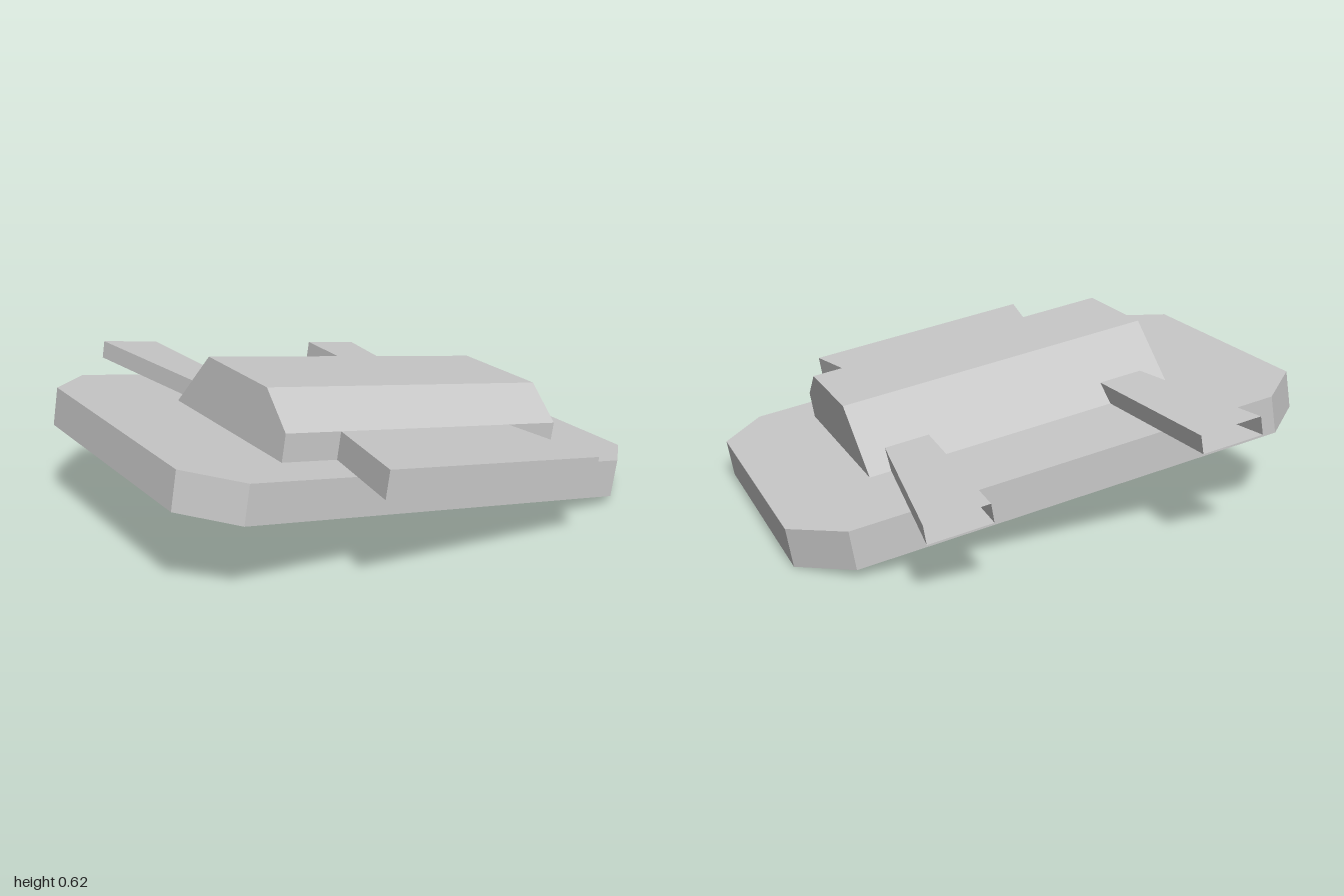
import * as THREE from 'three';

const FLOOR = 0.159, DECK = 0.302, MID = -0.03;

export function createModel() {
  const model = new THREE.Group();
  const grey = new THREE.MeshStandardMaterial({ color: 0xc8c8c8, flatShading: true, side: THREE.DoubleSide });
  grey.name = 'plain grey';

  // The whole craft rests tilted on its left edge and slightly turned
  const craft = new THREE.Group();
  craft.name = 'craft';
  craft.rotation.set(0, THREE.MathUtils.degToRad(3), THREE.MathUtils.degToRad(-9.7), 'YXZ');
  model.add(craft);

  const add = (name, geometry, x = MID) => {
    const mesh = new THREE.Mesh(geometry, grey);
    mesh.name = name;
    mesh.position.x = x;
    craft.add(mesh);
  };
  const extrude = (points, depth) => new THREE.ExtrudeGeometry(
    new THREE.Shape(points.map(([x, y]) => new THREE.Vector2(x, y))), { depth, bevelEnabled: false });

  // Flat plate from an (x, z) outline between two heights
  const slab = (outline, y0, y1) => extrude(outline.map(([x, z]) => [x, -z]), y1 - y0)
    .rotateX(-Math.PI / 2).translate(0, y0, 0);

  // Base plate with cut corners
  add('base', slab([
    [-0.807, 0.671], [0.807, 0.671], [0.98, 0.502], [0.98, -0.453],
    [0.807, -0.622], [-0.807, -0.622], [-0.98, -0.453], [-0.98, 0.502],
  ], FLOOR, DECK), -0.043);

  // Cabin: (z, y) side profile swept across the width
  const cabin = extrude([
    [0.494, DECK], [0.494, 0.403], [0.343, 0.519], [-0.066, 0.519], [-0.253, DECK],
  ], 1.2).translate(0, 0, -0.6).rotateY(-Math.PI / 2);
  // the profile axis now points along +z
  add('cabin', cabin, -0.025);

  // Flared front plate
  add('frontPlate', slab([
    [-0.374, 0.49], [0.374, 0.49], [0.455, 0.893], [-0.455, 0.893],
  ], DECK, 0.403), -0.028);

  // Flared rear ducts, open at the back
  for (const side of [-1, 1]) {
    const duct = new THREE.BoxGeometry(1, 0.37 - DECK, 1);
    duct.setIndex([...duct.index.array].slice(0, 30)); // leave out the rear face
    duct.clearGroups();
    const p = duct.attributes.position;
    for (let i = 0; i < p.count; i++) {
      const rear = p.getZ(i) < 0;
      p.setX(i, side * (rear ? 0.498 : 0.431) + p.getX(i) * (rear ? 0.232 : 0.168));
      p.setY(i, p.getY(i) + (0.37 + DECK) / 2);
      p.setZ(i, rear ? -0.888 : -0.19);
    }
    duct.computeVertexNormals();
    add(side > 0 ? 'leftDuct' : 'rightDuct', duct);
  }
  return model;
}
